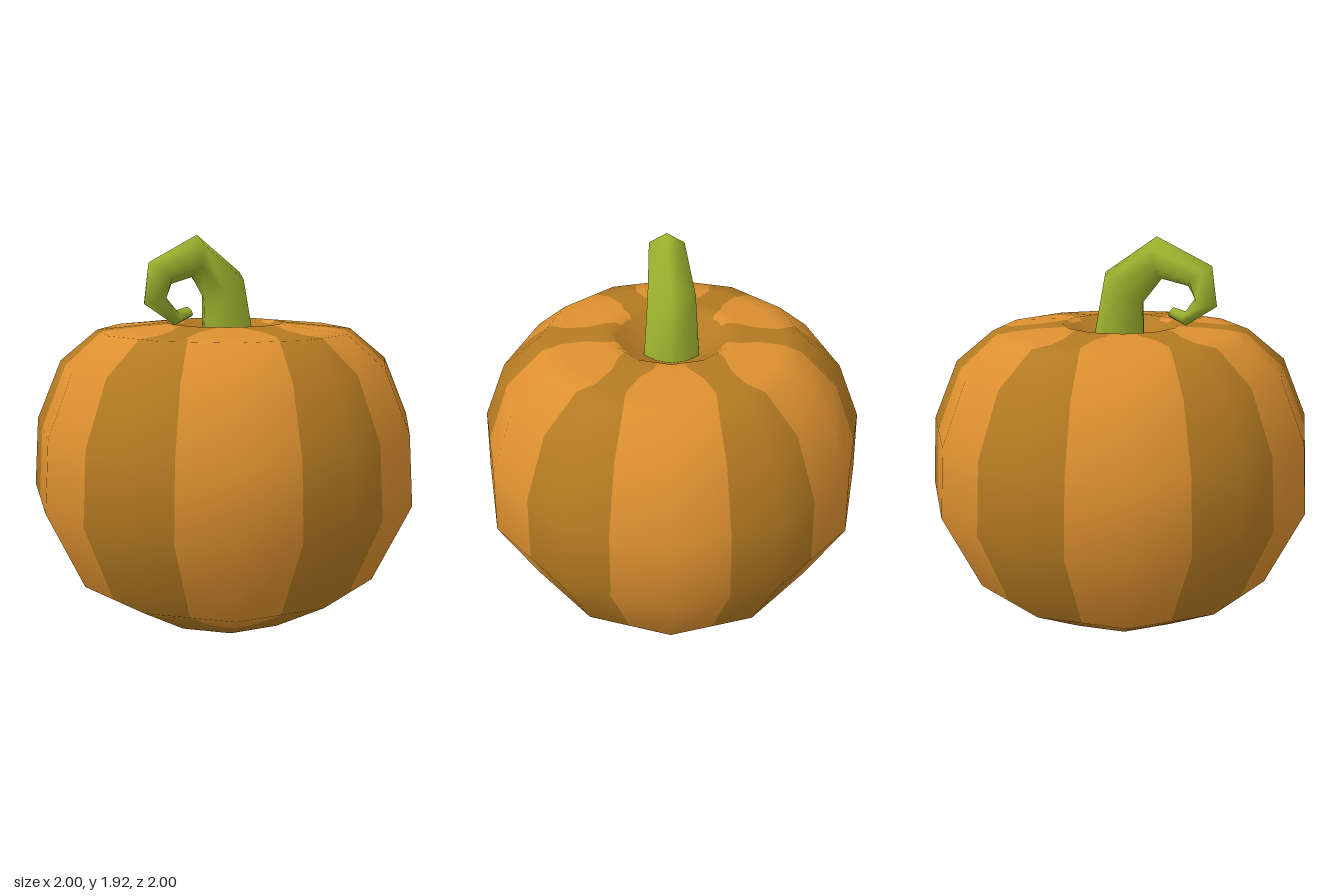
import * as THREE from 'three';
import { mergeVertices } from 'three/addons/utils/BufferGeometryUtils.js';

const flat = (name, color) => {
  const m = new THREE.MeshStandardMaterial({ color });
  m.name = name;
  return m;
};

// Skin over closed cross-section loops; pick(row, column) gives the material index.
function skin(rows, pick = () => 0) {
  const n = rows[0].length, faces = [[], []];
  for (let i = 0; i < rows.length - 1; i++) {
    for (let j = 0; j < n; j++) {
      const k = (j + 1) % n;
      const a = i * n + j, b = i * n + k, c = b + n, d = a + n;
      faces[pick(i, j)].push(a, b, c, a, c, d);
    }
  }
  const g = new THREE.BufferGeometry();
  g.setAttribute('position', new THREE.Float32BufferAttribute(rows.flat(2), 3));
  g.setIndex([...faces[0], ...faces[1]]);
  g.addGroup(0, faces[0].length, 0);
  if (faces[1].length) g.addGroup(faces[0].length, faces[1].length, 1);
  const merged = mergeVertices(g, 1e-4);
  merged.computeVertexNormals();
  return merged;
}

// Twelve-sided body: radius, height, and the share of each side taken by the dark rib
const PROFILE = [
  [0, 0.1, 0.5], [0.2, 0.04, 0.5], [0.47, 0, 0.6],
  [0.645, 0.12, 0.76], [0.7, 0.158, 0.6], [0.82, 0.24, 0.5],
  [1, 0.65, 0.46], [0.97, 1.0, 0.46], [0.84, 1.3, 0.44], [0.65, 1.455, 0.38],
  [0.55, 1.465, 0.28], [0.43, 1.477, 0.33], [0.35, 1.485, 0.55], [0.3, 1.49, 0.62],
  [0.27, 1.472, 0.7], [0.14, 1.4, 0.5], [0, 1.38, 0.5],
];
const FIRST_LIGHT = 3, LAST_LIGHT = 13;

function bodyGeometry() {
  const rows = PROFILE.map(([r, y, t]) => {
    const corner = (k) => [r * Math.sin(k * Math.PI / 6), y, r * Math.cos(k * Math.PI / 6)];
    const row = [];
    for (let k = 0; k < 12; k++) {
      const p = corner(k), q = corner(k + 1);
      const s = k % 2 ? 1 - t : t; // even corners carry the dark ribs
      row.push(p, p.map((v, i) => v + (q[i] - v) * s));
    }
    return row;
  });
  return skin(rows, (i, j) =>
    i >= FIRST_LIGHT && i <= LAST_LIGHT && (j % 4 === 1 || j % 4 === 2) ? 1 : 0);
}

// Curled stem: outer x, y, inner x, y, half width and z of each six-sided ring
const STEM = [
  [0.165, 1.38, -0.13, 1.38, 0.135, 0],
  [0.09, 1.74, -0.12, 1.6, 0.112, 0],
  [-0.18, 1.92, -0.21, 1.72, 0.085, 0.025],
  [-0.46, 1.79, -0.34, 1.69, 0.06, 0.05],
  [-0.49, 1.6, -0.375, 1.63, 0.055, 0.055],
  [-0.33, 1.495, -0.325, 1.565, 0.045, 0.06],
  [-0.24, 1.53, -0.26, 1.58, 0.03, 0.06],
  [-0.25, 1.555, -0.25, 1.555, 0, 0.06], // closes the tip
];

function stemGeometry() {
  return skin(STEM.map(([ox, oy, ix, iy, w, z]) => {
    const row = [];
    for (let k = 0; k < 6; k++) {
      const c = Math.cos(k * Math.PI / 3), s = Math.sin(k * Math.PI / 3);
      row.push([
        (ox + ix) / 2 + c * (ox - ix) / 2,
        (oy + iy) / 2 + c * (oy - iy) / 2,
        z - s * w / 0.866,
      ]);
    }
    return row;
  }));
}

export function createModel() {
  const dark = flat('dark orange rib', 0xb47a22);
  const light = flat('orange skin', 0xdd9030);
  const green = flat('stem green', 0x9db22e);

  const group = new THREE.Group();
  group.name = 'pumpkin';

  const body = new THREE.Mesh(bodyGeometry(), [dark, light]);
  body.name = 'body';

  const stem = new THREE.Mesh(stemGeometry(), green);
  stem.name = 'stem';

  group.add(body, stem);
  return group;
}
